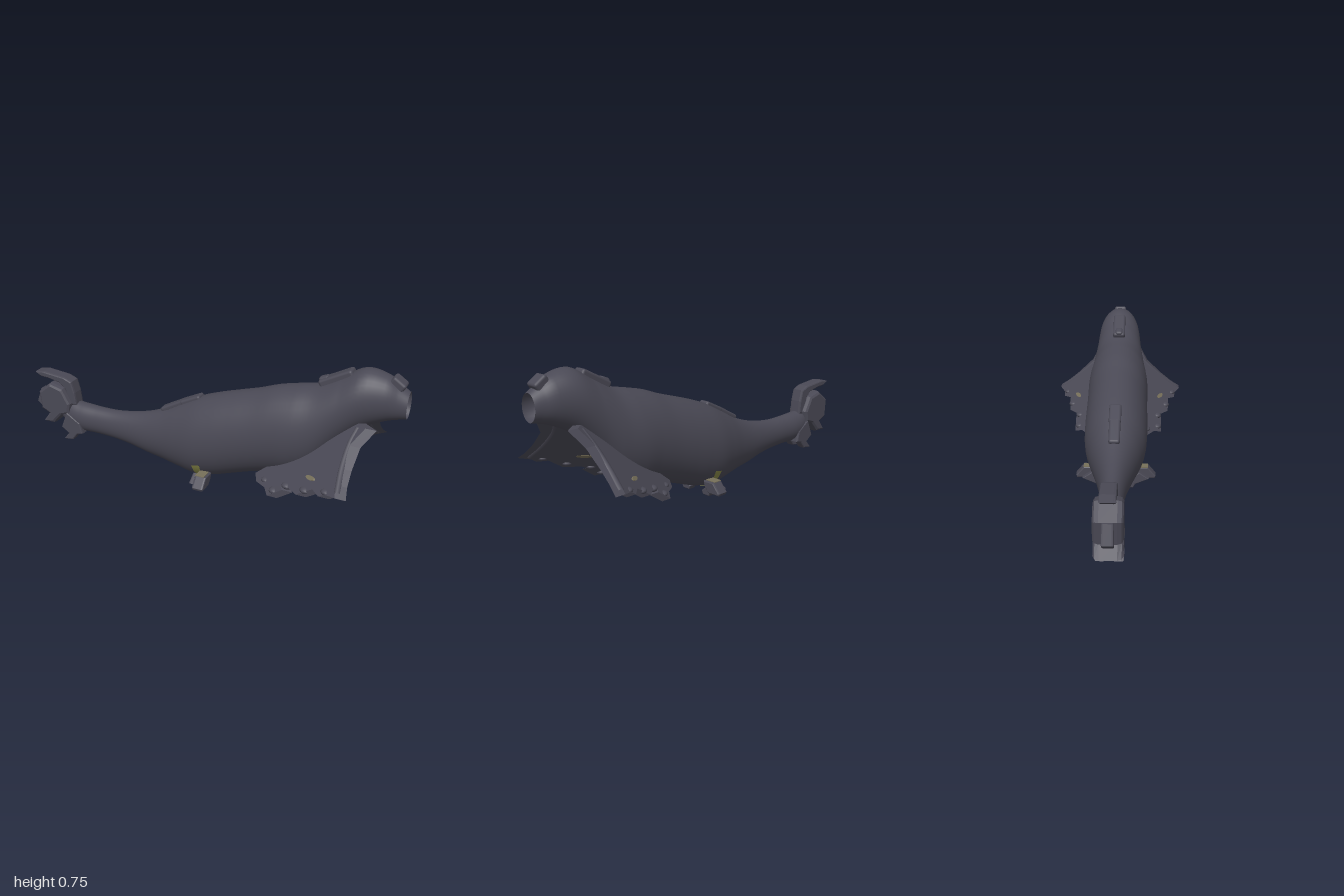
import * as THREE from 'three';
import { ParametricGeometry } from 'three/addons/geometries/ParametricGeometry.js';
import { RoundedBoxGeometry } from 'three/addons/geometries/RoundedBoxGeometry.js';

const hide = new THREE.MeshStandardMaterial({ color: 0x4a4955, side: THREE.DoubleSide });
hide.name = 'slate hide';
const olive = new THREE.MeshStandardMaterial({ color: 0x8a8a4a, side: THREE.DoubleSide });
olive.name = 'olive marking';
const tan = new THREE.MeshStandardMaterial({ color: 0x77705a, side: THREE.DoubleSide });
tan.name = 'tan marking';

// body stations: x, bottom y, top y, half width
const stations = [
  [-0.86, 0.18, 0.23, 0.02], [-0.78, 0.125, 0.27, 0.052], [-0.7, 0.11, 0.268, 0.06],
  [-0.6, 0.11, 0.264, 0.056], [-0.5, 0.105, 0.266, 0.056], [-0.4, 0.093, 0.28, 0.064],
  [-0.3, 0.073, 0.305, 0.08], [-0.2, 0.06, 0.345, 0.103], [-0.1, 0.043, 0.4, 0.13],
  [0, 0.03, 0.452, 0.153], [0.1, 0.05, 0.49, 0.16], [0.2, 0.085, 0.522, 0.16],
  [0.3, 0.12, 0.553, 0.159], [0.4, 0.148, 0.59, 0.16], [0.5, 0.17, 0.615, 0.16],
  [0.6, 0.225, 0.64, 0.146], [0.7, 0.36, 0.695, 0.125], [0.8, 0.465, 0.752, 0.11],
  [0.9, 0.52, 0.738, 0.084], [0.96, 0.54, 0.7, 0.06], [1, 0.55, 0.675, 0.048],
];
const spline = (col) => new THREE.CatmullRomCurve3(
  stations.map((s) => new THREE.Vector3(s[0], s[col], s[3])), false, 'catmullrom');
const low = spline(1), high = spline(2);

// point on the body skin at curve parameter t and angle a
function skin(t, a, out, grow = 0) {
  const b = low.getPoint(t), h = high.getPoint(t);
  return out.set(b.x, (b.y + h.y) / 2 + ((h.y - b.y) / 2 + grow) * Math.sin(a), (b.z + grow) * Math.cos(a));
}

// mirror across z, restoring the corner order
function mirrored(geo) {
  const g = geo.index ? geo.toNonIndexed() : geo.clone();
  g.scale(1, 1, -1);
  for (const attr of Object.values(g.attributes)) {
    const n = attr.itemSize, arr = attr.array;
    for (let i = 0; i < arr.length; i += 3 * n) {
      for (let k = 0; k < n; k++) {
        const keep = arr[i + n + k];
        arr[i + n + k] = arr[i + 2 * n + k];
        arr[i + 2 * n + k] = keep;
      }
    }
  }
  return g;
}

const shapeOf = (pts) => new THREE.Shape(pts.map((p) => new THREE.Vector2(p[0], p[1])));

// slab in the xy plane, centred on z
function slab(pts, half, bevel) {
  const g = new THREE.ExtrudeGeometry(shapeOf(pts), {
    depth: 2 * (half - bevel), bevelThickness: bevel, bevelSize: bevel * 0.6,
    bevelOffset: -bevel * 0.6, bevelSegments: 2,
  });
  return g.translate(0, 0, bevel - half);
}

// fin plane: x follows from y and z
const finX = (y, z) => 1.45 * y + 1.25 * z;
const finPoint = (z, y, dx = 0) => new THREE.Vector3(finX(y, z) + dx, y, z);
const finMatrix = new THREE.Matrix4().set(1.25, 1.45, -1, 0, 0, 1, 0, 0, 1, 0, 0, 0, 0, 0, 0, 1);
function finSlab(shape, from, depth) {
  return new THREE.ExtrudeGeometry(shape, { depth, bevelEnabled: false })
    .translate(0, 0, from).applyMatrix4(finMatrix);
}
function oval(z, y, rz, ry) {
  const s = new THREE.Shape();
  s.absellipse(z, y, rz, ry, 0, Math.PI * 2);
  return s;
}

export function createModel() {
  const model = new THREE.Group();
  model.name = 'seaCreature';
  const add = (name, geo, mat = hide, parent = model) => {
    const m = new THREE.Mesh(geo, mat);
    m.name = name;
    parent.add(m);
    return m;
  };
  const addPair = (name, geo, mat) => {
    add('left' + name, geo, mat);
    add('right' + name, mirrored(geo), mat);
  };

  // long body
  add('body', new ParametricGeometry((u, v, p) => skin(u, v * Math.PI * 2, p), 80, 36));

  // hollow round mouth
  add('mouth', new ParametricGeometry((u, v, p) => {
    const a = v * Math.PI * 2, r = 1 - u * 0.98;
    p.set(1 - 0.1 * Math.sqrt(1 - r * r), 0.6125 + 0.0625 * r * Math.sin(a), 0.048 * r * Math.cos(a));
  }, 10, 28));

  // olive band across the belly
  const last = stations.length - 1;
  add('bellyBand', new ParametricGeometry((u, v, p) => {
    const side = Math.abs(v * 2 - 1);
    skin((9.1 + u * (0.25 + 0.2 * side)) / last, Math.PI * (-0.83 + 0.66 * v), p, 0.003);
  }, 4, 28), olive);

  // bumps along the back and on the brow: x, y, length, height, width, tilt
  const bumps = [
    ['rearBackPlate', -0.15, 0.373, 0.15, 0.03, 0.055, 0.5],
    ['middleBackPlate', -0.05, 0.425, 0.12, 0.03, 0.06, 0.46],
    ['neckPlate', 0.675, 0.683, 0.17, 0.04, 0.065, 0.5],
    ['neckPlateTip', 0.62, 0.662, 0.05, 0.04, 0.04, 0.4],
    ['browBump', 0.945, 0.707, 0.07, 0.05, 0.066, -0.6],
  ];
  for (const [name, x, y, l, h, w, tilt] of bumps) {
    const m = add(name, new RoundedBoxGeometry(l, h, w, 2, 0.012));
    m.position.set(x, y, 0);
    m.rotation.z = tilt;
  }

  // front fins with ragged trailing edges
  const finOutline = [
    [0.06, 0.52], [0.085, 0.35], [0.12, 0.17], [0.16, 0.15], [0.2, 0.155], [0.24, 0.14],
    [0.24, 0.19], [0.222, 0.197], [0.225, 0.21], [0.28, 0.21], [0.283, 0.26], [0.32, 0.255],
    [0.322, 0.273], [0.35, 0.285], [0.3, 0.32], [0.24, 0.37], [0.16, 0.445], [0.115, 0.52],
  ];
  addPair('FrontFin', finSlab(shapeOf(finOutline), 0, 0.05));
  addPair('FinInnerSpot', finSlab(oval(0.163, 0.28, 0.023, 0.009), -0.006, 0.006), tan);
  addPair('FinOuterSpot', finSlab(oval(0.235, 0.285, 0.016, 0.008), 0.05, 0.006), tan);

  // thick leading ridge of the fin
  const ridge = new THREE.CatmullRomCurve3([
    finPoint(0.09, 0.5, -0.025), finPoint(0.14, 0.445, -0.025),
    finPoint(0.23, 0.365, -0.025), finPoint(0.325, 0.292, -0.025),
  ]);
  addPair('FinRidge', new THREE.TubeGeometry(ridge, 16, 0.016, 8));

  // knuckles along the trailing edge: z, y, radius
  const knuckles = [[0.3, 0.275, 0.02], [0.262, 0.235, 0.022], [0.215, 0.205, 0.022],
    [0.215, 0.163, 0.022], [0.155, 0.17, 0.02]];
  for (const [z, y, r] of knuckles) {
    const c = finPoint(z, y, -0.025);
    addPair('FinKnuckle', new THREE.SphereGeometry(r, 10, 8).scale(1.2, 0.7, 1.2).translate(c.x, c.y, c.z));
  }

  // small rear flippers: paddle, tan top and lower toe
  const turn = new THREE.Matrix4().makeRotationY(-Math.PI / 2);
  const crossSlab = (pts, half, x) => slab(pts, half, half * 0.3).applyMatrix4(turn).translate(x, 0, 0);
  addPair('RearPaddle', crossSlab(
    [[0.1, 0.098], [0.105, 0.07], [0.135, 0.04], [0.2, 0.04], [0.205, 0.052], [0.165, 0.1]], 0.03, 0.075));
  addPair('RearPaddleTop', new THREE.BoxGeometry(0.045, 0.008, 0.06).translate(0.07, 0.098, 0.136), tan);
  addPair('RearToe', crossSlab(
    [[0.05, 0], [0.09, 0], [0.1, 0.02], [0.17, 0.05], [0.12, 0.085], [0.07, 0.045], [0.04, 0.02]], 0.022, 0.035));

  // curled tail: hook, lump, side point and claws
  add('tailHook', slab([[-0.985, 0.41], [-0.95, 0.388], [-0.9, 0.385], [-0.83, 0.372], [-0.795, 0.34],
    [-0.79, 0.25], [-0.73, 0.26], [-0.738, 0.33], [-0.755, 0.39], [-0.8, 0.408], [-0.93, 0.42]], 0.035, 0.012));
  add('tailLump', slab([[-0.955, 0.31], [-0.945, 0.21], [-0.9, 0.19], [-0.94, 0.135], [-0.87, 0.135],
    [-0.82, 0.19], [-0.765, 0.21], [-0.755, 0.27], [-0.8, 0.35], [-0.88, 0.37]], 0.062, 0.025));
  add('tailPoint', slab([[-0.995, 0.23], [-0.94, 0.19], [-0.93, 0.31], [-0.965, 0.31]], 0.025, 0.008));
  addPair('TailClaw', slab([[-0.81, 0.055], [-0.75, 0.062], [-0.72, 0.1], [-0.685, 0.11], [-0.7, 0.17],
    [-0.78, 0.22], [-0.82, 0.125], [-0.775, 0.095]], 0.024, 0.01).translate(0, 0, 0.038));

  return model;
}
